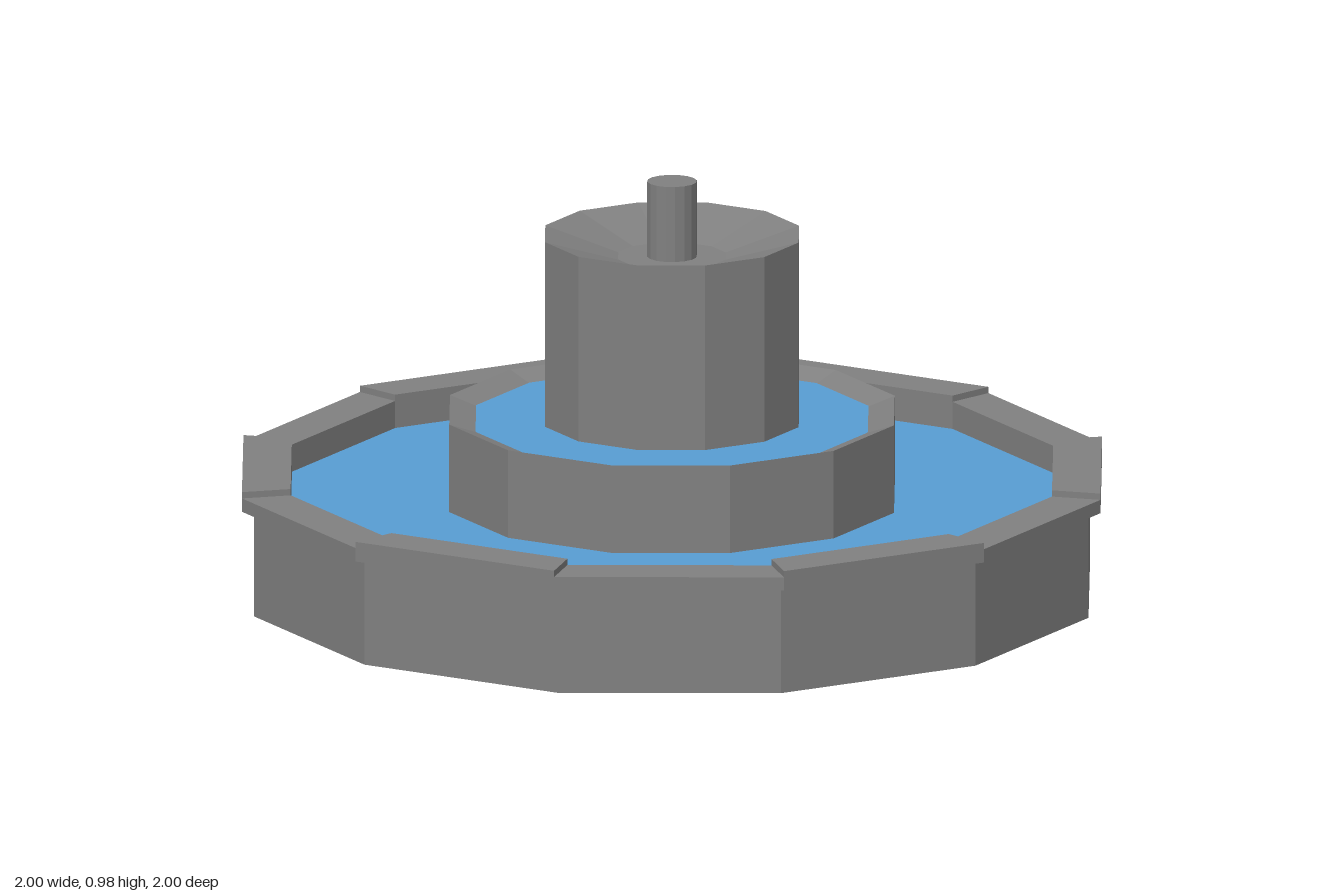
import * as THREE from 'three';

const SIDES = 12;
const HALF = Math.PI / SIDES;

export function createModel() {
  const model = new THREE.Group();
  model.name = 'fountain';
  const stone = new THREE.MeshStandardMaterial({ color: 0x808080 });
  stone.name = 'grey stone';
  const water = new THREE.MeshStandardMaterial({ color: 0x589dd3 });
  water.name = 'blue water';

  function add(name, geometry, material) {
    const flat = geometry.index ? geometry.toNonIndexed() : geometry;
    flat.computeVertexNormals();
    const mesh = new THREE.Mesh(flat, material);
    mesh.name = name;
    model.add(mesh);
    return mesh;
  }

  // Twelve-sided solid from [distance to flat, height] pairs, flats facing the axes
  function ring(name, profile, material) {
    const points = profile.map(([a, y]) => new THREE.Vector2(a / Math.cos(HALF), y));
    return add(name, new THREE.LatheGeometry(points, SIDES, HALF), material);
  }

  // Large basin and its water
  ring('basin', [[0, 0], [0.97, 0], [0.97, 0.255], [0.885, 0.255], [0.885, 0.21]], stone);
  ring('basinWater', [[0.886, 0.22], [0, 0.22]], water);

  // Rim slabs with mitred ends, alternately low and high
  const inner = 0.885, outer = 0.998, t = Math.tan(HALF);
  for (let i = 0; i < SIDES; i++) {
    const top = i % 2 ? 0.285 : 0.3;
    const shape = new THREE.Shape([
      new THREE.Vector2(-inner * t, -inner),
      new THREE.Vector2(-outer * t, -outer),
      new THREE.Vector2(outer * t, -outer),
      new THREE.Vector2(inner * t, -inner),
    ]);
    const slab = new THREE.ExtrudeGeometry(shape, { depth: top - 0.253, bevelEnabled: false });
    slab.rotateX(-Math.PI / 2).translate(0, 0.253, 0).rotateY((i * Math.PI * 2) / SIDES);
    add('rimSlab' + (i + 1), slab, stone);
  }

  // Middle tier with a lip sloping in to its water
  ring('middleTier', [[0.517, 0.2], [0.517, 0.43], [0.455, 0.408]], stone);
  ring('middleWater', [[0.456, 0.41], [0, 0.41]], water);

  // Column with a dished top
  ring('column', [[0.295, 0.4], [0.295, 0.853], [0.125, 0.8], [0, 0.8]], stone);

  // Spout
  const spout = new THREE.CylinderGeometry(0.058, 0.058, 0.19, 16);
  spout.translate(0, 0.885, 0);
  add('spout', spout, stone);

  return model;
}
